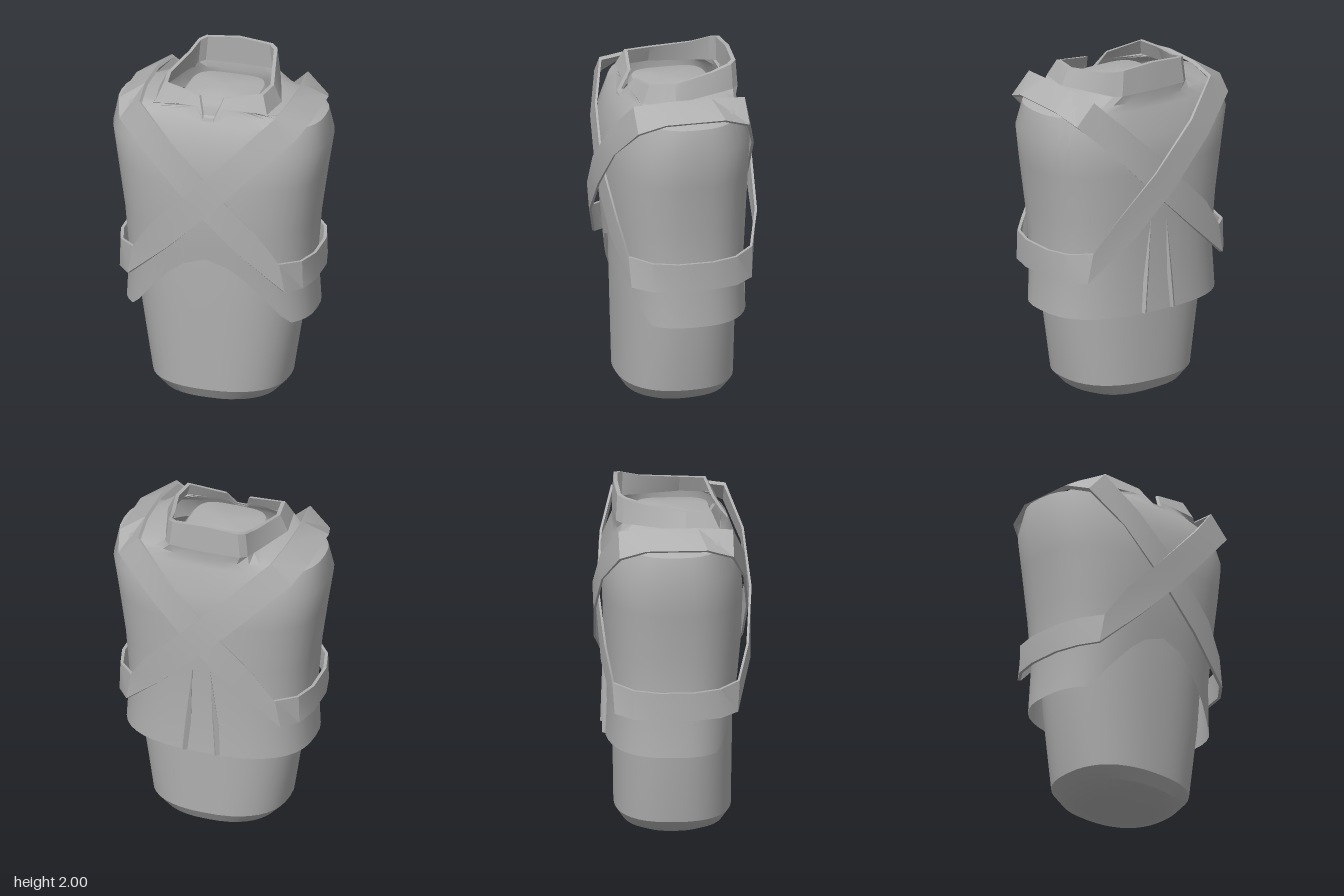
import * as THREE from 'three';
import { toCreasedNormals } from 'three/addons/utils/BufferGeometryUtils.js';

const SEG = 40;
const clamp01 = (t) => Math.min(1, Math.max(0, t));

// Surface through rows of points
function grid(rows, crease = 0.5) {
  const pos = [], idx = [], n = rows[0].length;
  rows.forEach((r) => r.forEach((p) => pos.push(...p)));
  for (let i = 0; i < rows.length - 1; i++) {
    for (let j = 0; j < n - 1; j++) {
      const a = i * n + j, b = a + 1, c = a + n, d = c + 1;
      idx.push(a, b, d, a, d, c);
    }
  }
  const g = new THREE.BufferGeometry();
  g.setAttribute('position', new THREE.Float32BufferAttribute(pos, 3));
  g.setIndex(idx);
  return toCreasedNormals(g, crease);
}

// Point on a rounded-box outline: half width, front z, back z
function outline(angle, [hx, zf, zb], y, n) {
  const s = Math.sin(angle), c = Math.cos(angle);
  const curve = (v) => Math.sign(v) * Math.pow(Math.abs(v) < 1e-6 ? 0 : Math.abs(v), 2 / n);
  return [hx * curve(s), y, c > 0 ? zf * curve(c) : -zb * curve(c)];
}

// Closed row of points, by angle
const ring = (fn) => Array.from({ length: SEG + 1 }, (_, i) => fn((Math.PI * 2 * i) / SEG));

// Linear lookup in rows of [key, ...values]
function lookup(table, key) {
  let i = 0;
  while (i < table.length - 2 && key > table[i + 1][0]) i++;
  const [a, b] = [table[i], table[i + 1]];
  const t = clamp01((key - a[0]) / (b[0] - a[0]));
  return a.slice(1).map((v, k) => v + (b[k + 1] - v) * t);
}

const ROUND = 2.6;
const JACKET = [
  [0.57, 0.535, 0.335, -0.375], [0.8, 0.515, 0.345, -0.36], [1.12, 0.54, 0.375, -0.375],
  [1.4, 0.58, 0.385, -0.385], [1.6, 0.612, 0.37, -0.39], [1.745, 0.585, 0.315, -0.33],
  [1.79, 0.46, 0.28, -0.325],
];

// Hem arches up at the front and hangs level elsewhere
function hemPoint(angle, lift) {
  const [x, , z] = outline(angle, [0.535, 0.34, -0.375], 0, ROUND);
  const hem = z > 0 ? 0.95 - 0.385 * Math.pow(clamp01(Math.abs(x) / 0.44), 1.8) : 0.565;
  const y = hem + (1.12 - hem) * lift;
  return outline(angle, lookup(JACKET, y), y, ROUND);
}

// Half of the angular collar, front notch to back: step, base x y z, top x y z
const COLLAR = [
  [0, 0, 1.765, 0.31, 0, 1.78, 0.305],
  [1, 0.03, 1.765, 0.31, 0.03, 1.78, 0.305],
  [2, 0.075, 1.83, 0.265, 0.07, 1.88, 0.235],
  [7, 0.32, 1.82, 0.245, 0.285, 1.915, 0.2],
  [10, 0.35, 1.82, 0.06, 0.305, 1.915, 0.06],
  [15, 0.275, 1.83, -0.18, 0.25, 1.945, -0.17],
  [17, 0.24, 1.835, -0.285, 0.225, 1.975, -0.28],
  [18, 0.205, 1.84, -0.32, 0.19, 1.985, -0.312],
  [20, 0, 1.84, -0.33, 0, 2.0, -0.322],
];

// Full row of the collar: first column, and inset towards the middle
function collarRow(column, inset = 1) {
  return Array.from({ length: SEG + 1 }, (_, i) => {
    const [x, y, z] = lookup(COLLAR, Math.min(i, SEG - i)).slice(column, column + 3);
    return [(i > SEG / 2 ? -x : x) * inset, y, z * inset];
  });
}

export function createModel() {
  const model = new THREE.Group();
  const grey = new THREE.MeshStandardMaterial({ color: 0xb0b0b0, side: THREE.DoubleSide });
  grey.name = 'grey';
  const add = (name, geometry) => {
    const mesh = new THREE.Mesh(geometry, grey);
    mesh.name = name;
    model.add(mesh);
    return mesh;
  };

  // Torso with rounded base
  const torso = [
    [0.005, 0, 0, 0], [0.015, 0.12, 0.12, -0.12], [0.035, 0.23, 0.2, -0.2], [0.075, 0.325, 0.28, -0.28],
    [0.14, 0.385, 0.322, -0.322], [0.57, 0.453, 0.328, -0.328], [1.0, 0.49, 0.335, -0.335],
    [1.6, 0.5, 0.31, -0.31], [1.7, 0.4, 0.25, -0.27],
  ];
  add('torso', grid(torso.map(([y, ...s]) => ring((a) => outline(a, s, y, 2.4)))));

  // Neck stump with a slightly domed cap
  const neck = [[1.66, 0.25, 0.24], [1.8, 0.225, 0.22], [1.825, 0.205, 0.205], [1.845, 0.11, 0.11], [1.85, 0, 0]];
  add('neck', grid(neck.map(([y, x, z]) => ring((a) => outline(a, [x, z, -z], y, 4)))));

  // Jacket from arched hem to notched neckline
  const rows = [0, 0.5, 1].map((lift) => ring((a) => hemPoint(a, lift)));
  JACKET.slice(3).forEach(([y, ...s]) => rows.push(ring((a) => outline(a, s, y, ROUND))));
  rows.push(collarRow(0));
  add('jacket', grid(rows));

  // Standing collar, high at the back and notched at the front
  add('collar', grid([collarRow(0), collarRow(3), collarRow(3, 0.93), collarRow(0, 0.93)], 0.3));

  // Back pleats
  for (const side of [-1, 1]) {
    const pleat = add('backPleat', grid([
      [[-0.025, 0.57, -0.36], [0.005, 0.57, -0.39], [0.025, 0.57, -0.36]],
      [[0, 1.1, -0.37], [0, 1.1, -0.375], [0, 1.1, -0.37]],
    ], 0.3));
    pleat.position.x = side * 0.14;
    pleat.rotation.z = side * 0.08;
  }

  // Strap over one shoulder and round the other side: upper edge x y z, lower edge x y z
  const front = [
    [0.415, 1.86, 0.12, 0.55, 1.775, 0.17], [0.39, 1.84, 0.315, 0.505, 1.72, 0.315],
    [0.2, 1.645, 0.405, 0.31, 1.535, 0.405], [-0.06, 1.39, 0.435, 0.06, 1.275, 0.435],
    [-0.31, 1.14, 0.405, -0.2, 1.025, 0.42], [-0.42, 0.97, 0.35, -0.45, 0.8, 0.34],
    [-0.52, 0.955, 0.24, -0.525, 0.79, 0.24], [-0.56, 0.95, 0.1, -0.56, 0.79, 0.1],
  ];
  const tuck = (z) => -(z > 0.38 ? z - 0.018 : z);
  const back = front.map(([a, b, c, d, e, f]) => [a, b, tuck(c), d, e, tuck(f)]).reverse();
  const strapRows = [...front, ...back, front[0]].map(([ux, uy, uz, lx, ly, lz]) => {
    const drop = uy > 1.8 ? 0.014 : 0;
    const k = 0.97;
    const low = [lx, ly, lz];
    return [low, [ux, uy, uz], [ux * k, uy - drop, uz * k], [lx * k, ly - drop, lz * k], low];
  });
  const strap = grid(strapRows, 0.45);
  add('leftShoulderStrap', strap);
  add('rightShoulderStrap', strap).rotation.y = Math.PI;

  return model;
}
